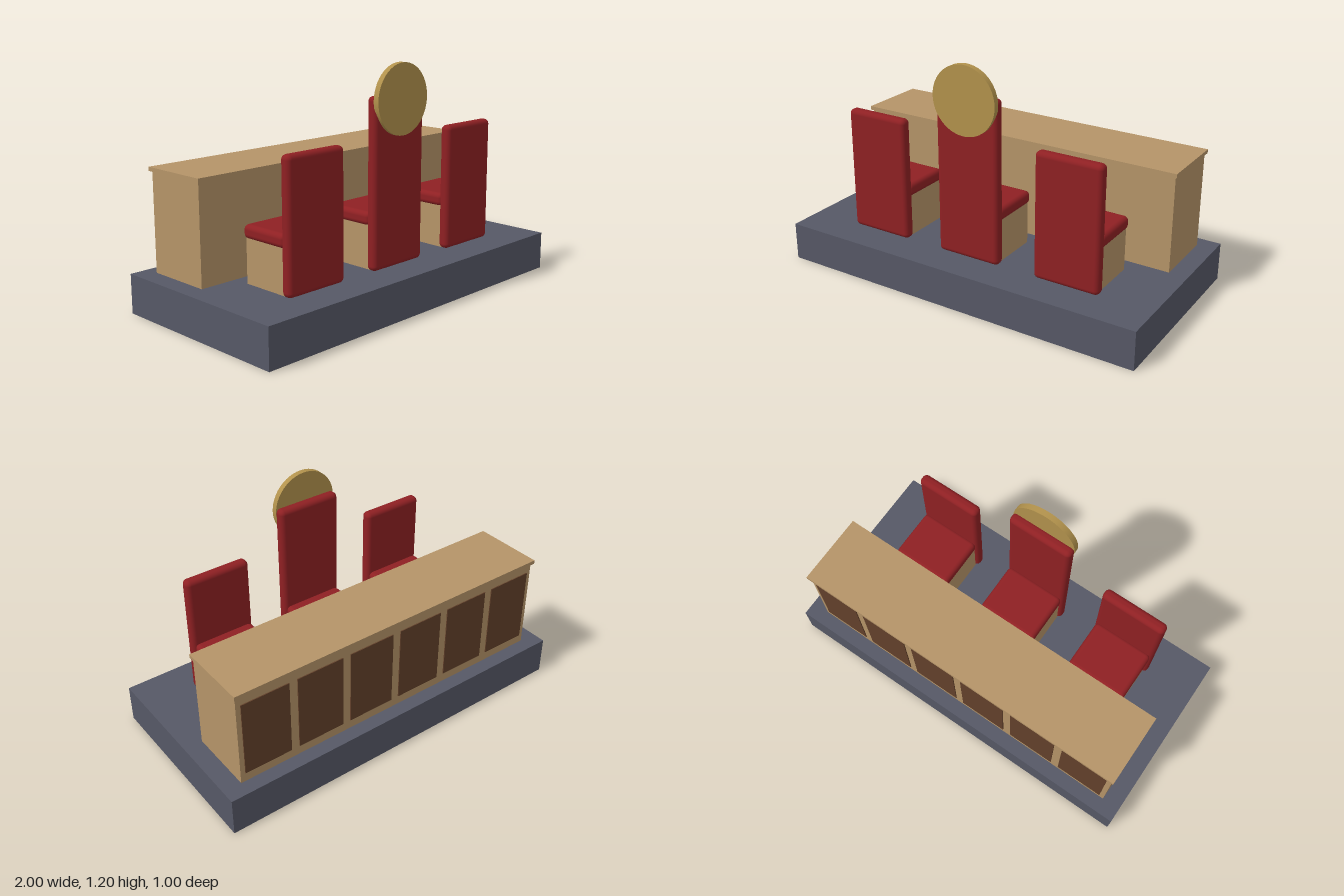
import * as THREE from 'three';
import { RoundedBoxGeometry } from 'three/addons/geometries/RoundedBoxGeometry.js';

const material = (name, color) => {
  const m = new THREE.MeshStandardMaterial({ color });
  m.name = name;
  return m;
};

export function createModel() {
  const slate = material('slate', 0x565866);
  const oak = material('oak', 0xb59468);
  const walnut = material('walnut', 0x63412b);
  const red = material('red leather', 0x8f2023);
  const brass = material('brass', 0xb2924c);

  const model = new THREE.Group();
  model.name = 'judgesBench';

  const add = (parent, name, geometry, mat, x, y, z) => {
    const mesh = new THREE.Mesh(geometry, mat);
    mesh.name = name;
    mesh.position.set(x, y, z);
    parent.add(mesh);
    return mesh;
  };
  // Box given by its width, y range and z range
  const box = (parent, name, mat, x, w, y0, y1, z0, z1, radius = 0) => {
    const size = [w, y1 - y0, z1 - z0];
    const geometry = radius
      ? new RoundedBoxGeometry(...size, 4, radius)
      : new THREE.BoxGeometry(...size);
    return add(parent, name, geometry, mat, x, (y0 + y1) / 2, (z0 + z1) / 2);
  };

  // Platform
  box(model, 'platform', slate, 0, 2, 0, 0.2, -0.5, 0.5);

  // Long desk with overhanging top and six recessed-look panels at the back
  const desk = new THREE.Group();
  desk.name = 'desk';
  model.add(desk);
  box(desk, 'deskBody', oak, 0, 1.805, 0.2, 0.7, -0.425, -0.072);
  box(desk, 'deskTop', oak, 0, 1.825, 0.7, 0.72, -0.44, -0.06);
  for (let i = 0; i < 6; i++) {
    box(desk, 'deskPanel', walnut, -0.75 + i * 0.3, 0.255, 0.25, 0.65, -0.43, -0.422);
  }

  // Three chairs, the middle one with a taller back
  for (const [x, top] of [[-0.55, 0.85], [0, 1.05], [0.55, 0.85]]) {
    const chair = new THREE.Group();
    chair.name = x === 0 ? 'centreChair' : x < 0 ? 'rightChair' : 'leftChair';
    chair.position.x = x;
    model.add(chair);
    box(chair, 'chairBase', oak, 0, 0.31, 0.2, 0.43, 0.015, 0.28);
    box(chair, 'seat', red, 0, 0.33, 0.417, 0.486, 0, 0.28, 0.025);
    box(chair, 'backrest', red, 0, 0.35, 0.2, top, 0.27, 0.33, 0.025);
  }

  // Round emblem disc on the tall backrest
  const disc = new THREE.CylinderGeometry(0.175, 0.175, 0.03, 48).rotateX(Math.PI / 2);
  add(model, 'disc', disc, brass, 0, 1.025, 0.332);

  return model;
}
